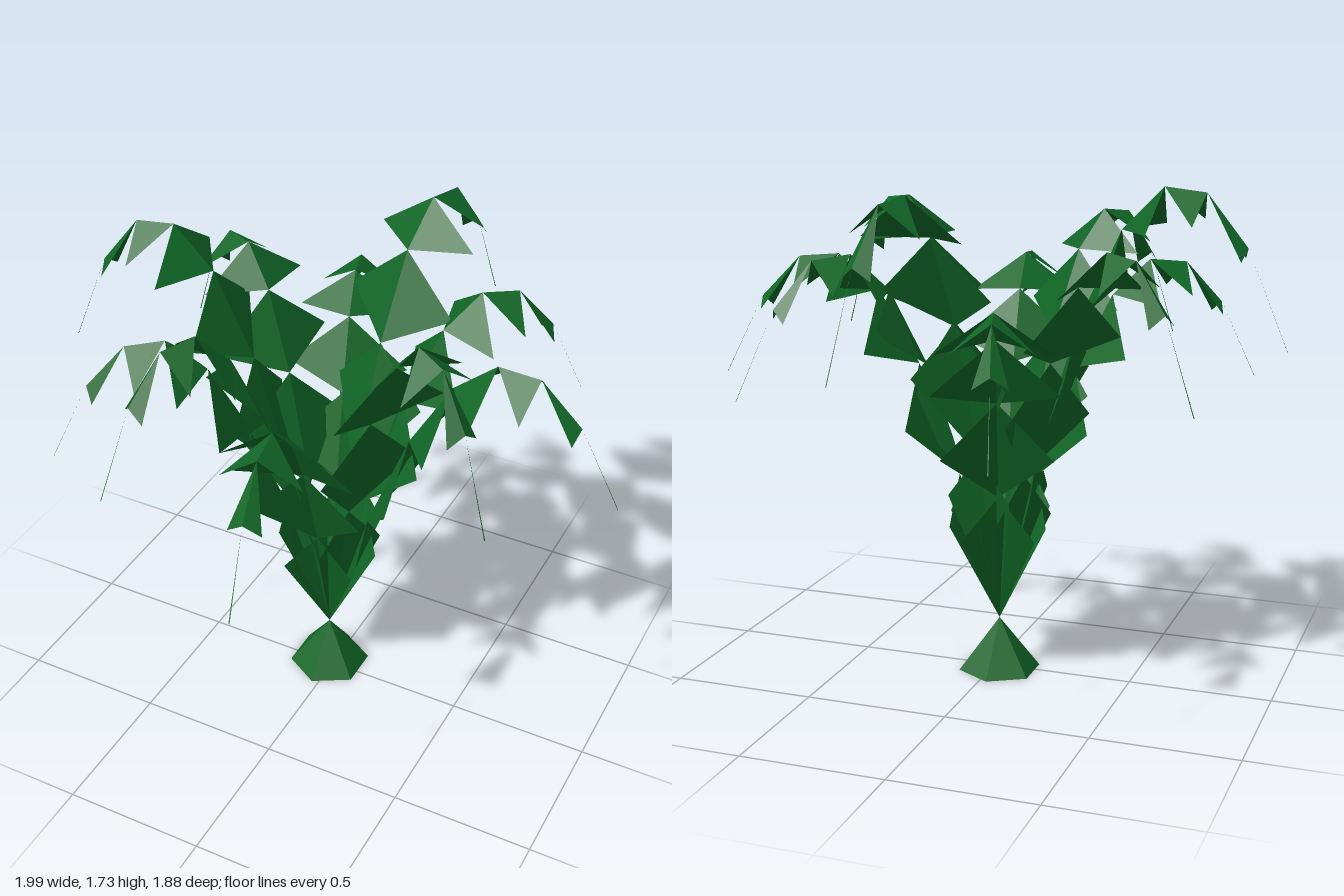
import * as THREE from 'three';

const CROWN = new THREE.Vector3(-0.025, 0.19, -0.022);
const PEAK = 4.9; // segment number at which a frond stops climbing

// Half width and droop of the leaflet pair on each frond segment
const WIDTH = [0.125, 0.19, 0.215, 0.193, 0.135, 0.056, 0.002];
const DROOP = [0.16, 0.2, 0.19, 0.14, 0.1, 0.04, 0];
const BACK = [0, 0.01, 0.02, 0.025, 0.025, 0.015, 0];

// Tip of each frond: x, y, z
const TIPS = [
  [0.99, 1.03, -0.09], [0.72, 1.15, 0.39], [0.13, 1.0, 0.93], [-0.45, 1.12, 0.73],
  [-0.81, 1.02, 0.49], [-1.0, 1.2, 0.035], [-0.81, 1.08, -0.48], [-0.31, 0.97, -0.93],
  [0.19, 1.2, -0.95], [0.65, 1.06, -0.66],
];

// An arching chain of folded kite-shaped leaflets
function frondGeometry([tx, ty, tz]) {
  const n = WIDTH.length;
  const out = new THREE.Vector3(tx - CROWN.x, 0, tz - CROWN.z);
  const step = out.length() / n;
  out.normalize();
  const side = new THREE.Vector3(out.z, 0, -out.x);
  const arch = (k) => k * PEAK - k * (k + 1) / 2;
  const rise = (ty - CROWN.y) / arch(n);
  const node = (k) => CROWN.clone().addScaledVector(out, k * step).setY(CROWN.y + rise * arch(k));

  const points = [];
  for (let k = 0; k < n; k++) {
    const a = node(k), b = node(k + 1);
    const wing = (s) => b.clone()
      .addScaledVector(side, s * WIDTH[k])
      .addScaledVector(out, -BACK[k])
      .setY(b.y - DROOP[k]);
    points.push(a, b, wing(1), a, wing(-1), b);
  }
  const geometry = new THREE.BufferGeometry().setFromPoints(points);
  geometry.computeVertexNormals();
  return geometry;
}

export function createModel() {
  const plant = new THREE.Group();
  plant.name = 'fern';
  const green = new THREE.MeshStandardMaterial({ color: 0x106626, flatShading: true, side: THREE.DoubleSide });
  green.name = 'leaf green';

  // Six-sided root cone
  const base = new THREE.Mesh(new THREE.ConeGeometry(0.146, CROWN.y, 6), green);
  base.name = 'base';
  base.position.set(CROWN.x, CROWN.y / 2, CROWN.z);
  plant.add(base);

  // Ring of fronds
  TIPS.forEach((tip, i) => {
    const frond = new THREE.Mesh(frondGeometry(tip), green);
    frond.name = `frond${i + 1}`;
    plant.add(frond);
  });
  return plant;
}
